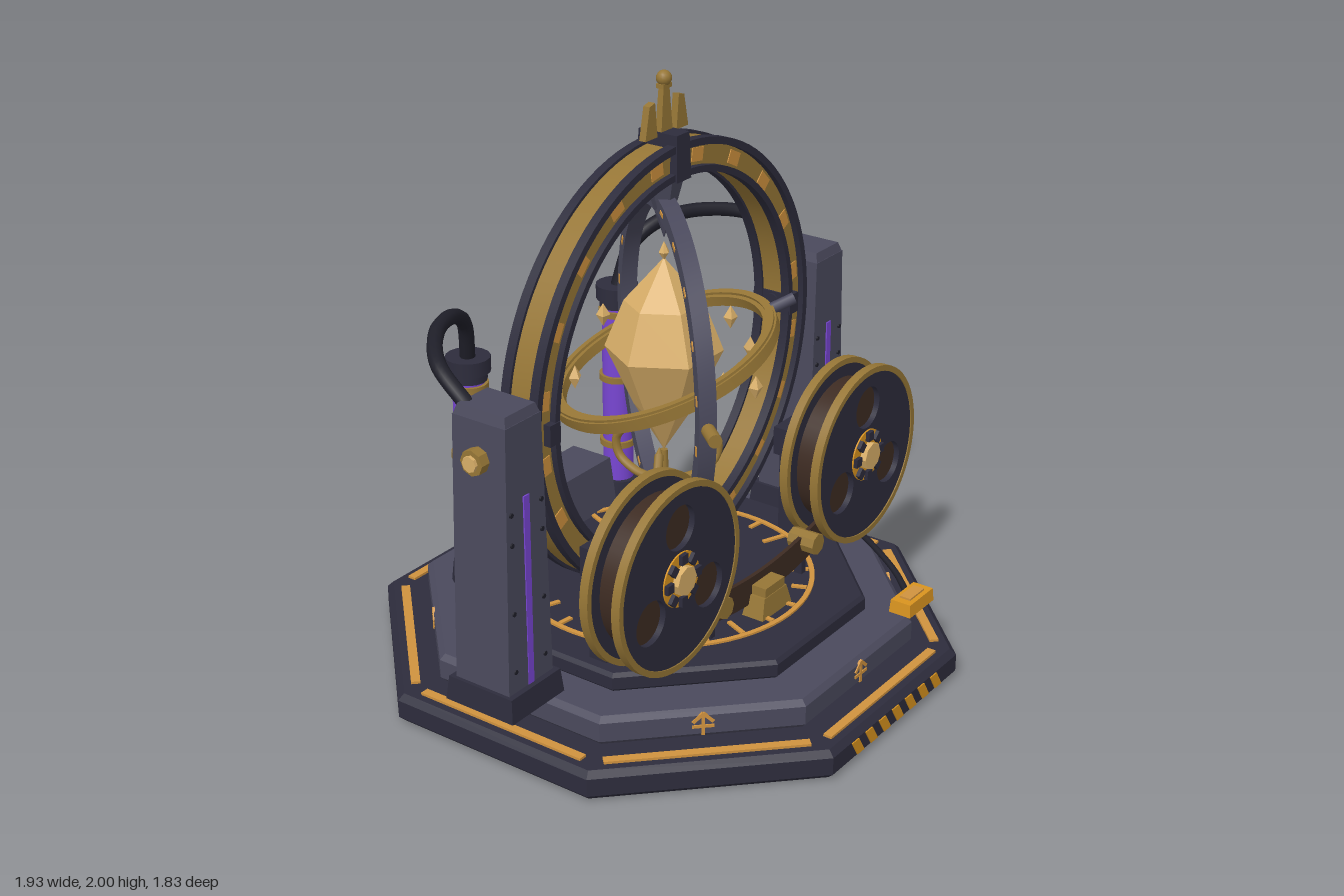
import * as THREE from 'three';
import { toCreasedNormals } from 'three/addons/utils/BufferGeometryUtils.js';

const mat = (name, color) => { const m = new THREE.MeshStandardMaterial({ color }); m.name = name; return m; };
const dark = mat('dark iron', 0x2d2c3c), grey = mat('slate metal', 0x4a495c), black = mat('black rubber', 0x1f1f29);
const gold = mat('aged brass', 0x967636), orange = mat('glowing orange', 0xcf923e), amber = mat('warning amber', 0xd8931f);
const crystalMat = mat('pale gold crystal', 0xd8ae68), purple = mat('violet glow', 0x7846d2), brown = mat('brown film', 0x3d2b22);
const V = (x, y, z) => new THREE.Vector3(x, y, z);

export function createModel() {
  const root = new THREE.Group();
  const group = (name, parent = root) => { const g = new THREE.Group(); g.name = name; parent.add(g); return g; };
  const add = (name, geo, m, x = 0, y = 0, z = 0, parent = root) => {
    const mesh = new THREE.Mesh(geo, m);
    mesh.name = name; mesh.position.set(x, y, z); parent.add(mesh);
    return mesh;
  };
  const flat = (g) => toCreasedNormals(g, 0.01);
  const box = (w, h, d) => new THREE.BoxGeometry(w, h, d);
  const cyl = (r, h, n = 20, rTop = r) => new THREE.CylinderGeometry(rTop, r, h, n);
  const cylX = (r, h, n = 16) => cyl(r, h, n).rotateZ(Math.PI / 2);
  const cylZ = (r, h, n = 16) => cyl(r, h, n).rotateX(Math.PI / 2);
  const lathe = (pts, n) => new THREE.LatheGeometry(pts.map(p => new THREE.Vector2(...p)), n);
  // box whose top is scaled about its own centre
  const taper = (w, h, d, sx, sz) => {
    const g = box(w, h, d), p = g.attributes.position;
    for (let i = 0; i < p.count; i++) if (p.getY(i) > 0) p.setXYZ(i, p.getX(i) * sx, p.getY(i), p.getZ(i) * sz);
    return flat(g);
  };
  // flat band around y with a rectangular section
  const band = (ri, ro, h, n = 72) => toCreasedNormals(
    lathe([[ri, -h / 2], [ro, -h / 2], [ro, h / 2], [ri, h / 2], [ri, -h / 2]], n), 0.6);
  const bandZ = (ri, ro, h, n) => band(ri, ro, h, n).rotateX(Math.PI / 2);
  // octagonal slab given by apothem, with a chamfered top edge
  const octagon = (a, h, c) => {
    const k = 1 / Math.cos(Math.PI / 8);
    return flat(lathe([[0.0001, 0], [(a - c) * k, 0], [a * k, c], [a * k, h - c], [(a - c) * k, h], [0.0001, h]], 8).rotateY(Math.PI / 8));
  };
  const tube = (pts, r, n = 32) => new THREE.TubeGeometry(new THREE.CatmullRomCurve3(pts.map(p => V(...p))), n, r, 10);
  const extrude = (pts, depth) => new THREE.ExtrudeGeometry(new THREE.Shape(pts.map(p => new THREE.Vector2(...p))),
    { depth, bevelEnabled: false }).translate(0, 0, -depth / 2);

  // stepped octagonal base
  add('baseSlab', octagon(0.915, 0.1, 0.02), dark);
  add('middleStep', octagon(0.775, 0.1, 0.018), grey, 0, 0.1);
  add('topStep', octagon(0.63, 0.065, 0.012), dark, 0, 0.198);
  for (let k = 0; k < 8; k++) {
    const side = group('baseSide'); side.rotation.y = k * Math.PI / 4;
    add('baseStripe', box(0.64, 0.009, 0.03), orange, 0, 0.104, 0.855, side);
    // engraved ornament made of short bars
    add('ornamentStem', box(0.011, 0.075, 0.008), orange, 0, 0.152, 0.775, side);
    for (const s of [-1, 1]) {
      const bar = add('ornamentBar', box(0.045, 0.011, 0.008), orange, s * 0.016, 0.175, 0.775, side);
      bar.rotation.z = -s * 0.75;
    }
    add('ornamentFoot', box(0.07, 0.01, 0.008), orange, 0, 0.145, 0.775, side);
  }
  // slanted warning stripes
  for (let i = 0; i < 7; i++) {
    const x = -0.275 + i * 0.08;
    add('warningStripe', extrude([[x, 0.078], [x + 0.035, 0.022], [x + 0.075, 0.022], [x + 0.04, 0.078]], 0.008), amber, 0, 0, 0.915);
  }
  // dial on the floor
  add('floorDial', band(0.488, 0.505, 0.008), orange, 0, 0.266, 0);
  for (let i = 0; i < 24; i++) {
    const tick = group('dialTick'); tick.rotation.y = (i + 0.5) * Math.PI / 12;
    add('tick', box(0.016, 0.008, i % 2 ? 0.05 : 0.085), orange, 0, 0.266, i % 2 ? 0.46 : 0.443, tick);
  }

  // pedestal and three claws
  add('pedestalFoot', flat(cyl(0.2, 0.08, 8, 0.16).rotateY(Math.PI / 8)), grey, 0, 0.3);
  add('pedestal', flat(lathe([[0.11, 0.32], [0.095, 0.4], [0.06, 0.54], [0.085, 0.57], [0.085, 0.61], [0.0001, 0.615]], 8).rotateY(Math.PI / 8)), grey);
  add('pedestalPin', cyl(0.018, 0.12, 10, 0.012), gold, 0, 0.66);
  for (let i = 0; i < 3; i++) {
    const claw = add('claw', tube([[0, 0.6, 0.03], [0, 0.61, 0.12], [0, 0.65, 0.185], [0, 0.71, 0.195], [0, 0.77, 0.15]], 0.015, 20), gold);
    claw.rotation.y = Math.PI + i * Math.PI * 2 / 3;
    const tip = add('clawTip', cyl(0.015, 0.03, 10, 0.002), gold, 0, 0.776, 0.143, group('clawEnd'));
    tip.rotation.x = -0.6; tip.parent.rotation.y = claw.rotation.y;
  }

  // large upright ring with dark rails and glowing inlays
  const arch = group('mainRing'); arch.position.y = 1.04;
  add('ringBody', bandZ(0.635, 0.728, 0.1, 96), gold, 0, 0, 0, arch);
  for (const z of [-0.055, 0.055]) {
    add('outerRail', bandZ(0.714, 0.738, 0.032, 96), dark, 0, 0, z, arch);
    add('innerRail', bandZ(0.626, 0.648, 0.032, 96), dark, 0, 0, z, arch);
    for (let i = 0; i < 20; i++) {
      const a = (i + 0.5) * Math.PI / 10;
      const inlay = add('ringInlay', box(0.045, 0.06, 0.006), orange, Math.cos(a) * 0.681, Math.sin(a) * 0.681, Math.sign(z) * 0.05, arch);
      inlay.rotation.z = a;
    }
  }
  // clamp, hanging spike and finial
  add('topClamp', taper(0.075, 0.15, 0.155, 0.9, 0.94), dark, 0, 1.735);
  add('hangingSpike', flat(lathe([[0.0001, 1.455], [0.045, 1.59], [0.066, 1.67], [0.0001, 1.68]], 6).rotateY(Math.PI / 6)), grey);
  add('finialStem', taper(0.06, 0.15, 0.024, 0.5, 0.8), gold, 0, 1.875);
  add('finialCollar', box(0.044, 0.014, 0.03), gold, 0, 1.952);
  add('finialBall', new THREE.SphereGeometry(0.025, 14, 10), gold, 0, 1.975);
  for (const s of [-1, 1]) {
    const pts = [[0.05, 1.8], [0.112, 1.8], [0.09, 1.905], [0.062, 1.912]].map(([x, y]) => [s * x, y]);
    add('finialFin', extrude(pts, 0.024), gold);
  }

  // crystal with floating shards
  add('crystal', flat(lathe([[0.0001, 0.72], [0.1, 0.88], [0.193, 1.08], [0.13, 1.24], [0.0001, 1.39]], 6).rotateY(Math.PI / 6)), crystalMat);
  add('crystalTip', flat(lathe([[0.0001, 1.38], [0.018, 1.408], [0.0001, 1.445]], 6)), crystalMat);
  for (const [x, y, z] of [[-0.21, 1.0, -0.2], [0.07, 1.1, -0.3], [0.28, 1.06, -0.08], [0.26, 1.12, 0.08], [-0.07, 1.05, 0.28], [0.1, 0.98, 0.29], [0.2, 1.06, 0.2]])
    add('shard', new THREE.OctahedronGeometry(0.024).scale(1, 1.7, 1), crystalMat, x, y, z).rotation.y = x * 9;

  // slate gimbal ring
  const gimbal = group('gimbalRing'); gimbal.position.y = 1.04; gimbal.rotation.y = 0.87;
  add('gimbalBody', bandZ(0.505, 0.558, 0.055), grey, 0, 0, 0, gimbal);
  for (let i = 0; i < 20; i++) for (const s of [-1, 1]) {
    const a = (i + 0.5) * Math.PI / 10;
    add('gimbalMark', box(0.014, 0.032, 0.006), orange, Math.cos(a) * 0.531, Math.sin(a) * 0.531, s * 0.027, gimbal).rotation.z = a;
  }
  for (const s of [-1, 1]) add('gimbalPivot', cylX(0.022, 0.1), gold, s * 0.59, 0, 0, gimbal);

  // tilted brass ring on two pins
  const orbit = group('tiltedRing'); orbit.position.y = 1.04;
  orbit.quaternion.setFromUnitVectors(V(0, 1, 0), V(-0.28, 1, -0.27).normalize());
  add('tiltedBody', band(0.345, 0.39, 0.035), gold, 0, 0, 0, orbit);
  add('tiltedRim', band(0.36, 0.383, 0.052), gold, 0, 0, 0, orbit);
  const pinGroup = group('ringPins'); pinGroup.position.y = 1.04;
  pinGroup.quaternion.setFromUnitVectors(V(1, 0, 0), V(0.73, 0.38, 0.62).normalize());
  for (const s of [-1, 1]) add('ringPin', cylX(0.019, 0.09, 12), grey, s * 0.42, 0, 0, pinGroup);

  // reel flange with three openings
  const flangeShape = new THREE.Shape().absarc(0, 0, 0.3, 0, Math.PI * 2);
  for (let i = 0; i < 3; i++) {
    const a = Math.PI / 2 + i * Math.PI * 2 / 3;
    flangeShape.holes.push(new THREE.Path().absarc(Math.cos(a) * 0.172, Math.sin(a) * 0.172, 0.073, 0, Math.PI * 2, true));
  }
  const flangeGeo = new THREE.ExtrudeGeometry(flangeShape, { depth: 0.022, bevelEnabled: false, curveSegments: 32 }).translate(0, 0, -0.011);

  for (const s of [-1, 1]) {
    // side pillar
    const pillar = group('pillar'); pillar.position.x = s * 0.832;
    add('pillarFoot', taper(0.25, 0.08, 0.265, 0.94, 0.94), dark, 0, 0.24, 0, pillar);
    add('pillarBody', taper(0.21, 0.88, 0.21, 0.78, 0.96), grey, 0, 0.72, 0, pillar);
    add('pillarCap', taper(0.162, 0.035, 0.2, 0.85, 0.9), grey, 0, 1.174, 0, pillar);
    add('pillarGlow', box(0.026, 0.64, 0.012), purple, 0, 0.6, 0.101, pillar);
    for (const y of [0.35, 0.55, 0.78, 0.88]) for (const t of [-1, 1])
      add('rivet', cylZ(0.008, 0.012, 8), black, t * 0.07, y, 0.102, pillar);
    add('pillarBolt', flat(cylX(0.042, 0.05, 8)), gold, s * 0.095, 1.04, 0, pillar);
    add('pillarBoltHead', flat(cylX(0.026, 0.03, 8)), crystalMat, s * 0.116, 1.04, 0, pillar);
    add('ringBracket', cylX(0.028, 0.16), dark, -s * 0.13, 1.04, 0, pillar);
    add('bracketCollar', box(0.05, 0.07, 0.15), dark, -s * 0.18, 1.04, 0, pillar);

    // violet coil and its hose
    const coil = group('coil'); coil.position.set(s * 0.395, 0, -0.49);
    add('coilTube', cyl(0.054, 0.72), purple, 0, 0.66, 0, coil);
    add('coilFoot', cyl(0.08, 0.07, 16, 0.072), dark, 0, 0.295, 0, coil);
    add('coilCap', cyl(0.062, 0.03, 16), dark, 0, 1.0, 0, coil);
    add('coilCapTop', cyl(0.074, 0.05, 16), dark, 0, 1.04, 0, coil);
    for (const y of [0.47, 0.72, 0.965]) add('coilRing', band(0.05, 0.065, 0.022, 24), gold, 0, y, 0, coil);
    add('hose', tube([[0.395, 1.05, -0.49], [0.44, 1.2, -0.46], [0.54, 1.265, -0.42], [0.69, 1.28, -0.35],
      [0.83, 1.25, -0.22], [0.865, 1.17, -0.08]].map(([x, y, z]) => [s * x, y, z]), 0.025, 40), black);

    // film reel on a post
    const reel = group('reel'); reel.position.set(s * 0.535, 0.62, 0);
    for (const z of [0.322, 0.44]) {
      add('reelFlange', flangeGeo, dark, 0, 0, z, reel);
      add('reelRim', bandZ(0.29, 0.31, 0.03, 56), gold, 0, 0, z, reel);
    }
    add('filmRoll', cylZ(0.245, 0.1, 48), brown, 0, 0, 0.381, reel);
    add('reelHub', cylZ(0.09, 0.02, 32), amber, 0, 0, 0.446, reel);
    for (let i = 0; i < 8; i++) {
      const a = i * Math.PI / 4;
      add('hubTooth', box(0.032, 0.03, 0.025), dark, Math.cos(a) * 0.071, Math.sin(a) * 0.071, 0.457, reel).rotation.z = a;
    }
    add('hubCap', flat(cylZ(0.048, 0.03, 8)), crystalMat, 0, 0, 0.463, reel);
    add('reelAxle', cylZ(0.035, 0.2), grey, 0, 0, 0.24, reel);
    add('reelPost', box(0.1, 0.46, 0.065), dark, 0, -0.19, 0.17, reel);
    add('postHead', box(0.18, 0.1, 0.065), dark, 0, 0, 0.17, reel);
    add('filmRoller', flat(cylZ(0.037, 0.1, 8)), gold, s * -0.27, -0.23, 0.39, reel);
    add('rollerStand', box(0.025, 0.13, 0.03), dark, s * -0.27, -0.29, 0.37, reel);
  }

  // sagging film strip between the reels
  const film = box(0.74, 0.1, 0.014, 16).clone(), filmGeo = new THREE.BoxGeometry(0.74, 0.095, 0.014, 16, 1, 1), fp = filmGeo.attributes.position;
  film.dispose();
  for (let i = 0; i < fp.count; i++) fp.setY(i, fp.getY(i) + 0.345 + 0.35 * fp.getX(i) ** 2);
  add('filmStrip', flat(filmGeo), brown, 0, 0, 0.385);
  add('filmGateBase', taper(0.17, 0.07, 0.08, 0.75, 0.8), gold, 0, 0.298, 0.415);
  add('filmGateTop', box(0.11, 0.04, 0.06), gold, 0, 0.345, 0.415);

  // rear machine housing
  add('rearHousing', taper(0.64, 0.2, 0.2, 0.95, 0.82), grey, 0, 0.34, -0.54);
  add('housingFoot', box(0.66, 0.05, 0.21), dark, 0, 0.23, -0.54);

  // control box and cable
  add('controlBox', taper(0.155, 0.045, 0.08, 0.95, 0.92), amber, 0.385, 0.224, 0.735);
  add('controlButton', box(0.09, 0.008, 0.04), orange, 0.385, 0.249, 0.735);
  add('controlCable', tube([[0.4, 0.23, 0.71], [0.47, 0.255, 0.62], [0.55, 0.28, 0.48], [0.63, 0.285, 0.34], [0.67, 0.32, 0.22], [0.73, 0.4, 0.08]], 0.011), black);

  return root;
}
